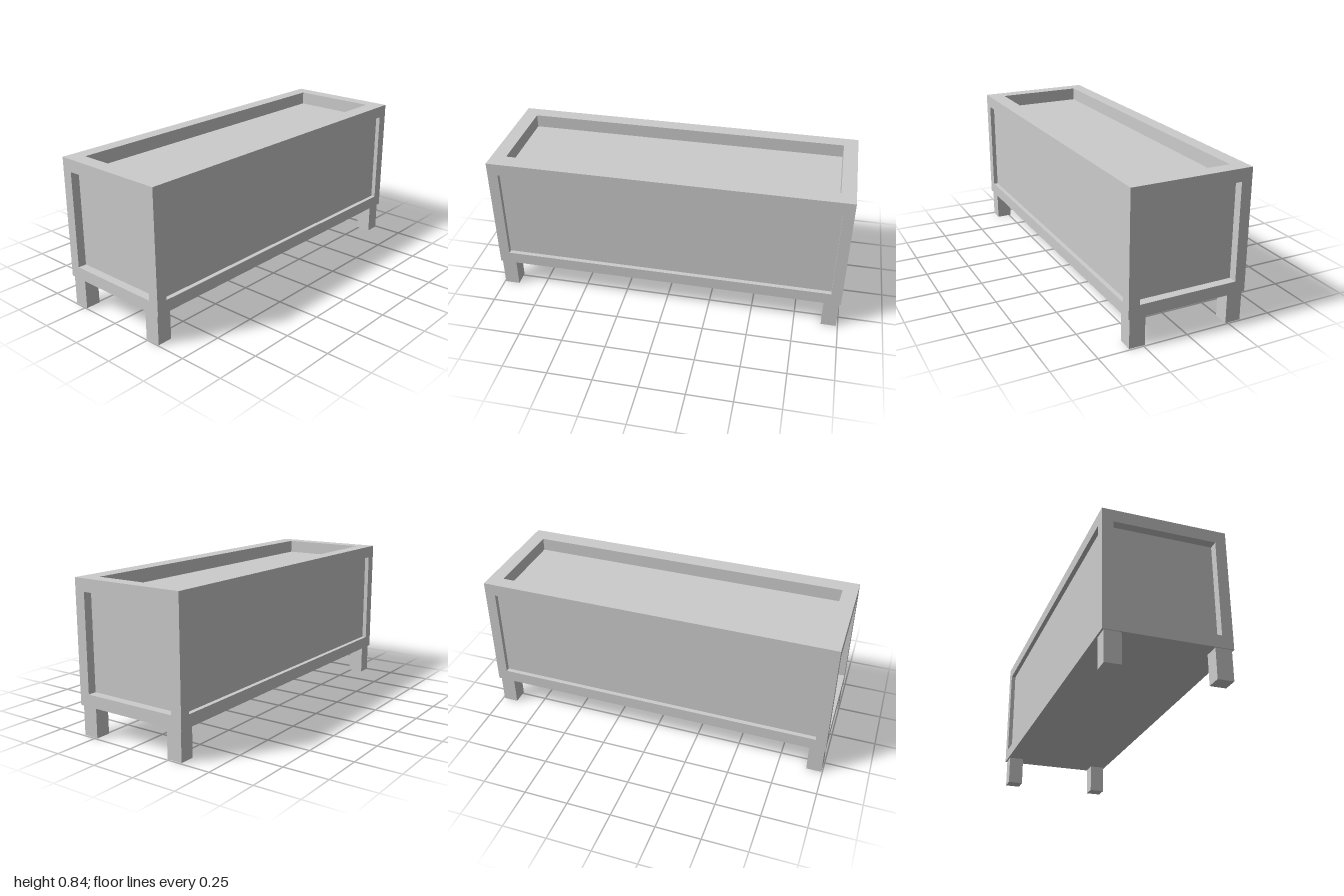
import * as THREE from 'three';
import { mergeGeometries } from 'three/addons/utils/BufferGeometryUtils.js';

const W = 0.674, H = 0.675, L = 2, BASE = 0.167;
const MID = BASE + H / 2;
const Q = Math.PI / 2;

// One outer face with a sunken panel, centred on the origin and facing +z
function recessedFace(w, h, [x0, x1, y0, y1], depth) {
  const rim = new THREE.Shape([[-1, -1], [1, -1], [1, 1], [-1, 1]]
    .map(([x, y]) => new THREE.Vector2(x * w / 2, y * h / 2)));
  rim.holes.push(new THREE.Path([[x0, y0], [x0, y1], [x1, y1], [x1, y0]]
    .map(([x, y]) => new THREE.Vector2(x, y))));
  const pw = x1 - x0, ph = y1 - y0, cx = (x0 + x1) / 2, cy = (y0 + y1) / 2;
  return mergeGeometries([
    new THREE.ShapeGeometry(rim),
    new THREE.PlaneGeometry(pw, ph).translate(cx, cy, -depth),
    new THREE.PlaneGeometry(depth, ph).rotateY(Q).translate(x0, cy, -depth / 2),
    new THREE.PlaneGeometry(depth, ph).rotateY(-Q).translate(x1, cy, -depth / 2),
    new THREE.PlaneGeometry(pw, depth).rotateX(-Q).translate(cx, y0, -depth / 2),
    new THREE.PlaneGeometry(pw, depth).rotateX(Q).translate(cx, y1, -depth / 2),
  ]);
}

export function createModel() {
  const group = new THREE.Group();
  const material = new THREE.MeshStandardMaterial({ color: 0xcccccc, flatShading: true });
  const add = (name, geometry) => {
    const mesh = new THREE.Mesh(geometry, material);
    mesh.name = name;
    group.add(mesh);
  };

  // Framed panels around the chest
  const y0 = 0.235 - MID, y1 = 0.773 - MID;
  const endHole = [-0.277, 0.277, y0, y1];
  const sideHole = [-0.94, 0.94, y0, y1];
  [['front', 0], ['back', Math.PI]].forEach(([name, turn]) =>
    add(name + 'Panel', recessedFace(W, H, endHole, 0.048)
      .translate(0, 0, L / 2).rotateY(turn).translate(0, MID, 0)));
  [['left', Q], ['right', -Q]].forEach(([name, turn]) =>
    add(name + 'Panel', recessedFace(L, H, sideHole, 0.025)
      .translate(0, 0, W / 2).rotateY(turn).translate(0, MID, 0)));

  // Sunken top and flat underside
  add('topTray', recessedFace(W, L, [-0.257, 0.243, -0.917, 0.92], 0.075)
    .rotateX(-Q).translate(0, BASE + H, 0));
  add('underside', new THREE.PlaneGeometry(W, L).rotateX(Q).translate(0, BASE, 0));

  // Square legs
  for (const x of [-0.283, 0.283]) {
    for (const z of [-0.948, 0.952]) {
      add((z > 0 ? 'front' : 'back') + (x > 0 ? 'Left' : 'Right') + 'Leg',
        new THREE.BoxGeometry(0.088, BASE, 0.085).translate(x, BASE / 2, z));
    }
  }
  return group;
}
